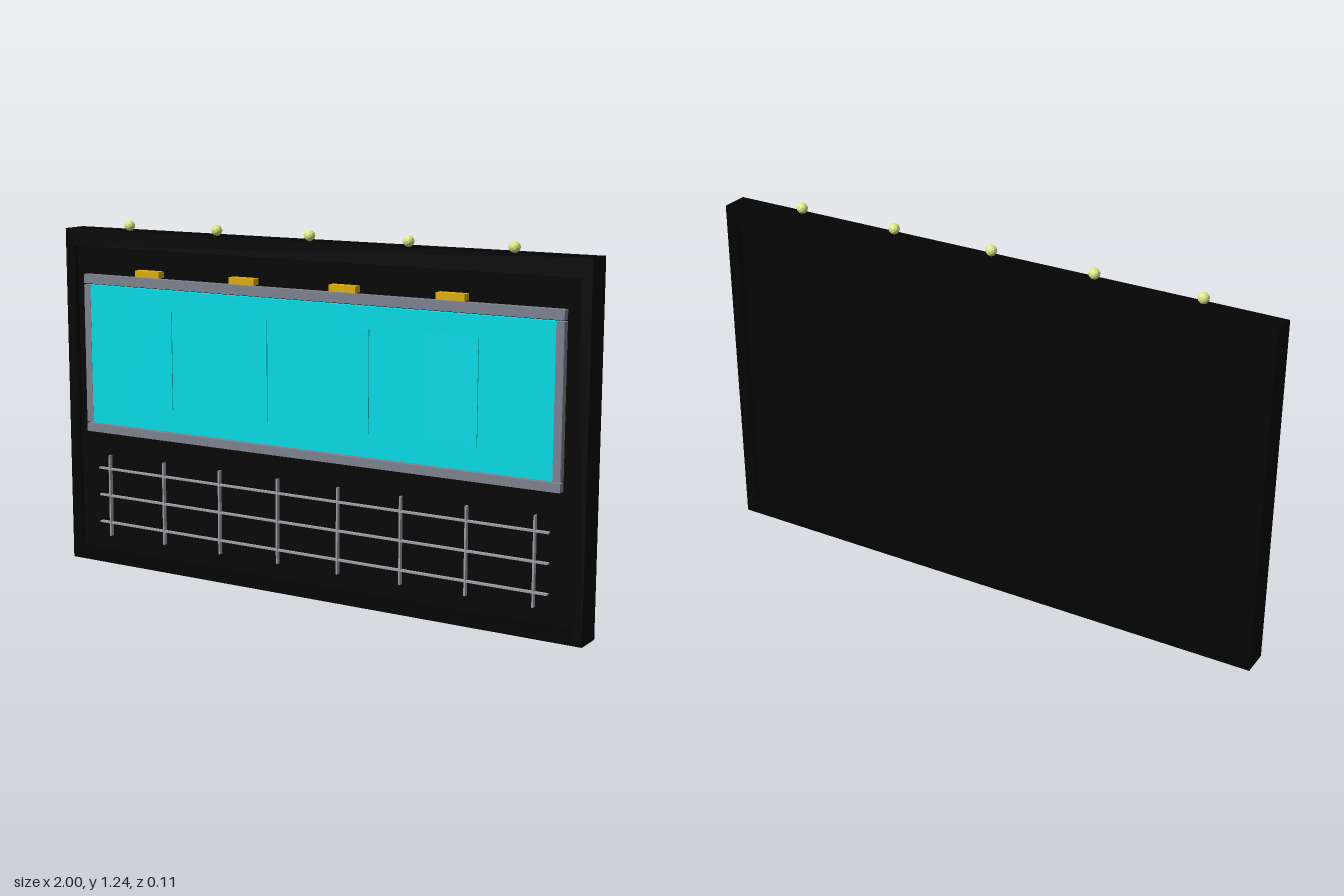
import * as THREE from 'three';

const mat = (name, color, flatShading = false) => {
  const m = new THREE.MeshStandardMaterial({ color, flatShading });
  m.name = name;
  return m;
};

export function createModel() {
  const black = mat('black', 0x040404);
  const grey = mat('steel grey', 0x7c8290);
  const wire = mat('wire grey', 0x9a9ea4);
  const teal = mat('teal glass', 0x04dfea);
  const amber = mat('amber', 0xdfae06);
  const glow = mat('pale bulb', 0xe2ec88, true);
  const model = new THREE.Group();

  // Box given by its low and high limits on each axis
  const box = (name, material, x0, x1, y0, y1, z0, z1) => {
    const mesh = new THREE.Mesh(new THREE.BoxGeometry(x1 - x0, y1 - y0, z1 - z0), material);
    mesh.position.set((x0 + x1) / 2, (y0 + y1) / 2, (z0 + z1) / 2);
    mesh.name = name;
    model.add(mesh);
  };

  // Outer frame with a rectangular opening
  const corners = (x, y0, y1) => [[-x, y0], [x, y0], [x, y1], [-x, y1]].map(p => new THREE.Vector2(...p));
  const outline = new THREE.Shape(corners(1, 0, 1.197));
  outline.holes.push(new THREE.Path(corners(0.9625, 0.042, 1.137)));
  const frame = new THREE.Mesh(new THREE.ExtrudeGeometry(outline, { depth: 0.096, bevelEnabled: false }), black);
  frame.position.z = -0.055;
  frame.name = 'outerFrame';
  model.add(frame);

  // Panel set in the frame with a narrow gap all round
  box('backPanel', black, -0.959, 0.959, 0.0455, 1.1335, -0.03, 0.024);

  // Window: glass and posts, with a fine seam below and above the rails
  box('windowGlass', teal, -0.89, 0.89, 0.512, 1.003, 0.024, 0.047);
  box('windowTopRail', grey, -0.917, 0.917, 1.008, 1.04, 0.024, 0.049);
  box('windowBottomRail', grey, -0.917, 0.917, 0.478, 0.507, 0.024, 0.049);
  for (const s of [-1, 1]) {
    box('windowPost', grey, s * 0.9035 - 0.0135, s * 0.9035 + 0.0135, 0.512, 1.003, 0.024, 0.048);
  }

  // Raised panes, each with a lamp above
  for (let i = 0; i < 4; i++) {
    const x = -0.635 + i * 0.39;
    box('raisedPane', teal, x - 0.098, x + 0.098, 0.59, 0.932, 0.047, 0.051);
    box('lamp', amber, x - 0.05, x + 0.05, 1.044, 1.066, 0.024, 0.056);
  }

  // Lower lattice of thin bars
  for (let i = 0; i < 8; i++) {
    const x = -0.83 + i * 0.237;
    box('latticeUpright', wire, x - 0.003, x + 0.003, 0.1, 0.395, 0.024, 0.039);
  }
  for (const y of [0.148, 0.247, 0.345]) {
    box('latticeCrossbar', wire, -0.877, 0.877, y - 0.003, y + 0.003, 0.024, 0.038);
  }

  // Bulbs along the top edge
  const bulbGeometry = new THREE.IcosahedronGeometry(0.019, 1);
  for (let i = -2; i <= 2; i++) {
    const bulb = new THREE.Mesh(bulbGeometry, glow);
    bulb.position.set(i * 0.3665, 1.216, 0.018);
    bulb.name = 'bulb';
    model.add(bulb);
  }
  return model;
}
